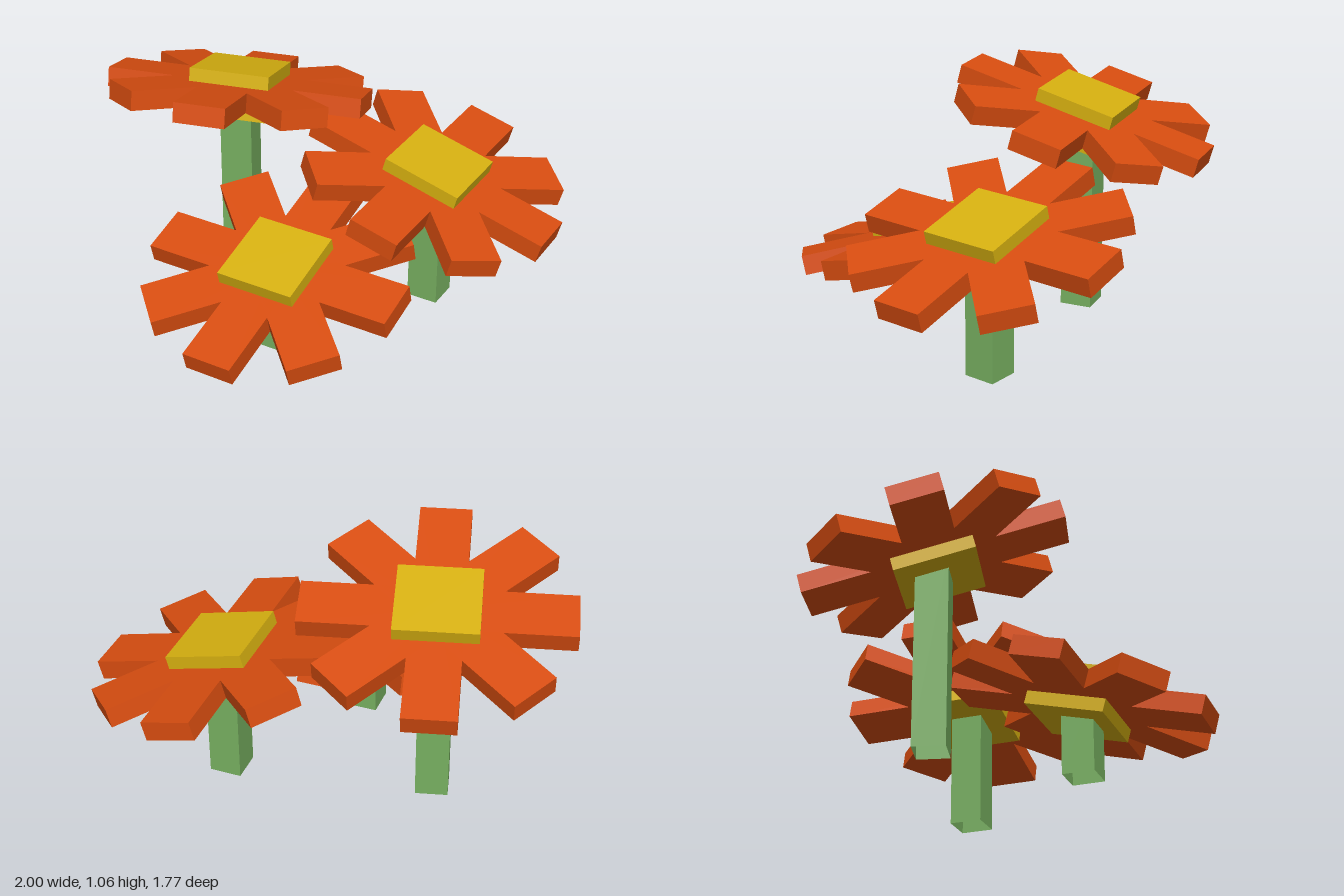
import * as THREE from 'three';

const TILT = THREE.MathUtils.degToRad(15);

export function createModel() {
  const orange = new THREE.MeshStandardMaterial({ color: 0xd84d10 });
  orange.name = 'petal orange';
  const yellow = new THREE.MeshStandardMaterial({ color: 0xd6b010 });
  yellow.name = 'centre yellow';
  const green = new THREE.MeshStandardMaterial({ color: 0x77af60, side: THREE.DoubleSide });
  green.name = 'stem green';

  const petalGeometry = new THREE.BoxGeometry(1.13, 0.085, 0.22);
  const centreGeometry = new THREE.BoxGeometry(0.35, 0.2, 0.35);

  // Square stem, open at both ends
  function stemGeometry(height) {
    const tube = new THREE.CylinderGeometry(0.07 * Math.SQRT2, 0.07 * Math.SQRT2, height, 4, 1, true);
    const geometry = tube.rotateY(Math.PI / 4).translate(0, height / 2, 0).toNonIndexed();
    geometry.computeVertexNormals();
    return geometry;
  }

  // Upright stem carrying a tilted head of four crossed petal bars
  function createFlower(name, x, height, z, yaw, tiltX, tiltZ) {
    const flower = new THREE.Group();
    flower.name = name;
    flower.position.set(x, 0, z);
    flower.rotation.y = yaw;

    const stem = new THREE.Mesh(stemGeometry(height), green);
    stem.name = 'stem';
    flower.add(stem);

    const head = new THREE.Group();
    head.name = 'flowerHead';
    head.position.y = height;
    head.rotation.set(tiltX, 0, tiltZ);
    for (let i = 0; i < 4; i++) {
      const petals = new THREE.Mesh(petalGeometry, orange);
      petals.name = 'petalPair';
      petals.rotation.y = (i * Math.PI) / 4;
      head.add(petals);
    }
    const centre = new THREE.Mesh(centreGeometry, yellow);
    centre.name = 'flowerCentre';
    head.add(centre);
    flower.add(head);
    return flower;
  }

  const model = new THREE.Group();
  model.name = 'flowers';
  model.add(
    createFlower('frontFlower', 0.053, 0.345, 0.33, 0, TILT, 0),
    createFlower('leftFlower', 0.44, 0.583, -0.322, 0, 0, -TILT),
    createFlower('tallFlower', -0.425, 0.873, -0.147, TILT, -TILT, 0)
  );
  return model;
}
